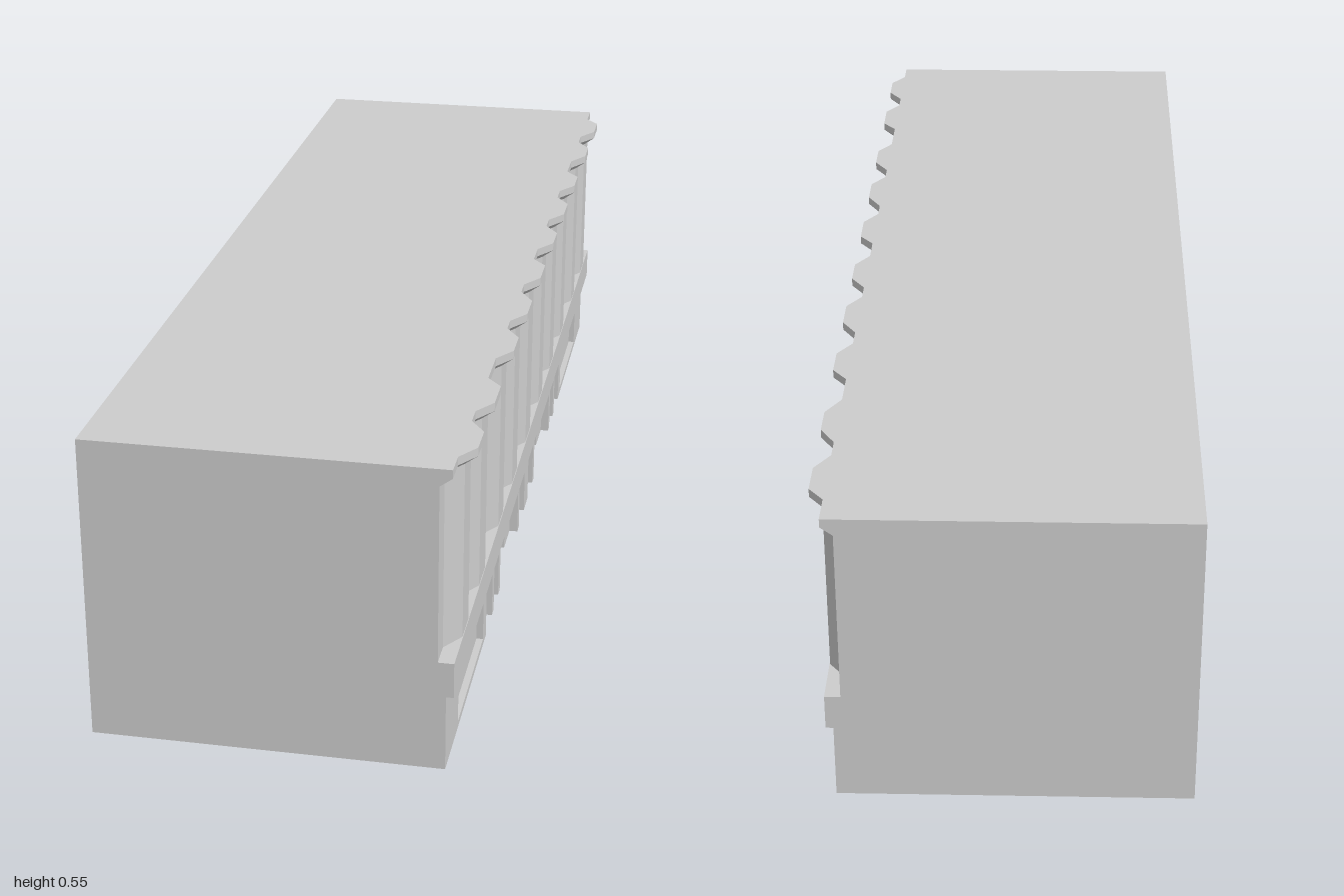
import * as THREE from 'three';

const BACK = -0.319, LEDGE = 0.299, OUT = 0.286, PANEL = 0.274;

// Ring of upright walls: a facade edge of [x, z] points from z = 1 to z = -1, closed round the back
function walls(name, edge, y0, y1, material, flare = 0) {
  const loop = [[BACK, 1], ...edge, [BACK, -1]];
  const positions = [];
  loop.forEach(([ax, az], i) => {
    const [bx, bz] = loop[(i + 1) % loop.length];
    const at = ax > 0 ? ax + flare : ax, bt = bx > 0 ? bx + flare : bx;
    positions.push(ax, y0, az, bx, y0, bz, bt, y1, bz, ax, y0, az, bt, y1, bz, at, y1, az);
  });
  const geometry = new THREE.BufferGeometry();
  geometry.setAttribute('position', new THREE.Float32BufferAttribute(positions, 3));
  geometry.computeVertexNormals();
  const mesh = new THREE.Mesh(geometry, material);
  mesh.name = name;
  return mesh;
}

// Level surface inside a plan outline, facing up or down
function level(name, outline, y, material, facing = 1) {
  const shape = new THREE.Shape(outline.map(([x, z]) => new THREE.Vector2(x, -z * facing)));
  const geometry = new THREE.ShapeGeometry(shape).rotateX(-facing * Math.PI / 2).translate(0, y, 0);
  const mesh = new THREE.Mesh(geometry, material);
  mesh.name = name;
  return mesh;
}

// Wavy upper facade: each bay is [front end, front crest, rear crest, rear end] in z
function wavyEdge(offset) {
  const bays = [
    [0.95, 0.91, 0.848, 0.81], [0.77, 0.73, 0.66, 0.628],
    [0.54, 0.5, 0.437, 0.397], [0.36, 0.32, 0.253, 0.21],
    [0.17, 0.13, 0.06, 0.028], [-0.03, -0.07, -0.132, -0.17],
    [-0.21, -0.25, -0.317, -0.357], [-0.4, -0.44, -0.503, -0.536],
    [-0.61, -0.655, -0.716, -0.757], [-0.8, -0.842, -0.908, -0.94],
  ];
  const inner = 0.272 + offset, outer = 0.298 + offset;
  const edge = [[inner, 1]];
  for (const [a, b, c, d] of bays) edge.push([inner, a], [outer, b], [outer, c], [inner, d]);
  edge.push([inner, -1]);
  return edge;
}

// Ground floor: wide side panels, then windows and doors between slim pilasters, mirrored
function shopEdge(panel) {
  const window = 0.27, door = 0.258;
  const half = [
    [OUT, 1], [OUT, 0.868], [panel, 0.868], [panel, 0.585], [OUT, 0.585],
    [OUT, 0.548], [window, 0.548], [window, 0.473], [OUT, 0.473],
    [OUT, 0.451], [window, 0.451], [window, 0.393], [OUT, 0.393],
    [OUT, 0.371], [window, 0.371], [window, 0.291], [door, 0.291],
    [door, 0.2], [window, 0.2], [window, 0.125], [OUT, 0.125],
    [OUT, 0.103], [window, 0.103], [window, 0.028], [OUT, 0.028],
  ];
  return [...half, ...half.map(([x, z]) => [x, -z]).reverse()];
}

export function createModel() {
  const group = new THREE.Group();
  group.name = 'building';
  const wall = new THREE.MeshStandardMaterial({ color: 0xcccccc, side: THREE.DoubleSide });
  wall.name = 'wall grey';

  const shop = shopEdge(PANEL), wavy = wavyEdge(0), cornice = wavyEdge(0.021);
  const ledge = [[LEDGE, 1], [LEDGE, -1]];

  // Hollow shell, open underneath
  group.add(
    walls('plinth', shopEdge(OUT), 0, 0.012, wall),
    walls('groundFloor', shop, 0.012, 0.137, wall),
    level('ledgeUnderside', [...ledge, ...shop.reverse()], 0.137, wall, -1),
    walls('ledge', ledge, 0.137, 0.2, wall),
    level('ledgeTop', [...ledge, ...[...wavy].reverse()], 0.2, wall),
    walls('upperFacade', wavy, 0.2, 0.515, wall),
    walls('corniceFlare', wavy, 0.515, 0.53, wall, 0.021),
    walls('corniceBand', cornice, 0.53, 0.545, wall),
    level('roof', [[BACK, 1], ...cornice, [BACK, -1]], 0.545, wall),
  );

  // Sills under the side panels
  for (const s of [1, -1]) {
    const sill = [[PANEL, 0.868 * s], [OUT, 0.868 * s], [OUT, 0.585 * s], [PANEL, 0.585 * s]];
    group.add(level('panelSill', sill, 0.012, wall));
  }
  return group;
}
